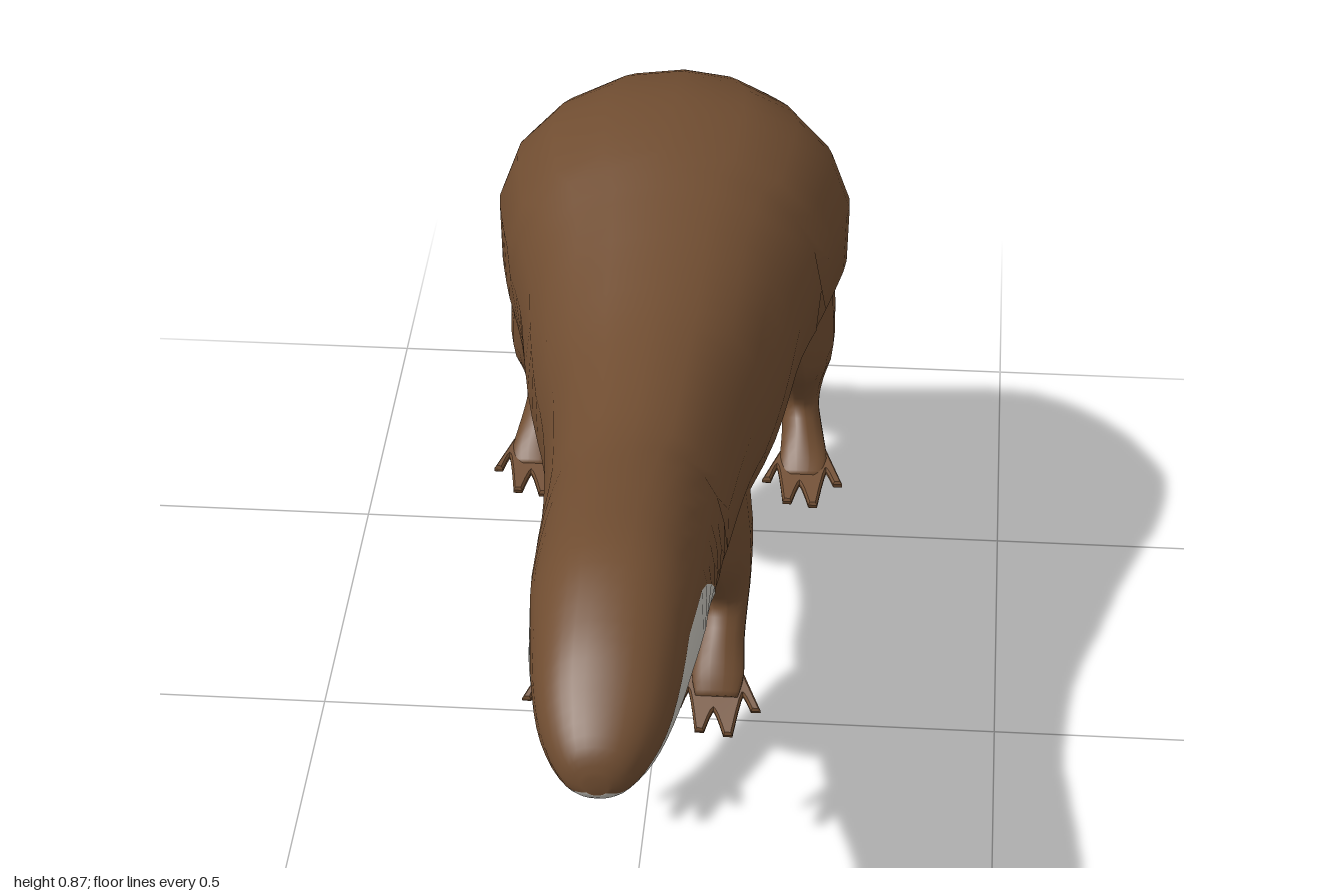
import * as THREE from 'three';

const fur = new THREE.MeshStandardMaterial({ color: 0x704d31 });
fur.name = 'brown fur';
const pale = new THREE.MeshStandardMaterial({ color: 0xc6c3bb });
pale.name = 'pale underside';

const LOWER = 8, UPPER = 16, RING = LOWER + UPPER, MIN_ANGLE = 0.3;

// Catmull-Rom through rows of numbers
function refine(rows, steps) {
  const out = [];
  const at = (i) => rows[Math.max(0, Math.min(rows.length - 1, i))];
  for (let i = 0; i < rows.length - 1; i++) {
    for (let k = 0; k < steps; k++) {
      const t = k / steps;
      out.push(rows[i].map((_, c) => {
        const [a, b, d, e] = [at(i - 1)[c], at(i)[c], at(i + 1)[c], at(i + 2)[c]];
        return b + 0.5 * t * (d - a + t * (2 * a - 5 * b + 4 * d - e + t * (3 * (b - d) + e - a)));
      }));
    }
  }
  out.push(rows[rows.length - 1]);
  return out;
}

// Linear lookup of the pale patch's half angle for a given z
function paleAngle(keys, z) {
  for (let i = 0; i < keys.length - 1; i++) {
    const [z0, a0] = keys[i], [z1, a1] = keys[i + 1];
    if (z <= z0 && z >= z1) return a0 + (a1 - a0) * (z0 - z) / (z0 - z1 || 1);
  }
  return 0;
}

// Skin over oval sections: [x, upper z, upper y, lower z, lower y, half width]
function loft(sections, steps, power, paleKeys = []) {
  const rows = refine(sections, steps);
  const pos = [], brownIdx = [], paleIdx = [];
  const shape = (v) => Math.sign(v) * Math.abs(v) ** power;
  const angles = rows.map(([x, zt, yt, zb, yb, w]) => {
    const cz = (zt + zb) / 2, cy = (yt + yb) / 2;
    const a = Math.max(MIN_ANGLE, paleAngle(paleKeys, cz));
    for (let i = 0; i < RING; i++) {
      const th = i < LOWER ? -a + 2 * a * i / LOWER
        : a + (2 * Math.PI - 2 * a) * (i - LOWER) / UPPER;
      const s = shape(Math.sin(th)), c = -shape(Math.cos(th));
      pos.push(x + w * s, cy + c * (yt - yb) / 2, cz + c * (zt - zb) / 2);
    }
    return a;
  });
  for (let j = 0; j < rows.length - 1; j++) {
    const isPale = Math.max(angles[j], angles[j + 1]) > MIN_ANGLE + 0.01;
    for (let i = 0; i < RING; i++) {
      const n = (i + 1) % RING;
      const a = j * RING + i, b = j * RING + n, d = a + RING, c = b + RING;
      (isPale && i < LOWER ? paleIdx : brownIdx).push(a, d, b, b, d, c);
    }
  }
  // Closed ends
  for (const j of [0, rows.length - 1]) {
    const [x, zt, yt, zb, yb] = rows[j];
    const centre = pos.length / 3;
    pos.push(x, (yt + yb) / 2, (zt + zb) / 2);
    for (let i = 0; i < RING; i++) {
      const a = j * RING + i, b = j * RING + (i + 1) % RING;
      brownIdx.push(...(j === 0 ? [centre, a, b] : [centre, b, a]));
    }
  }
  const g = new THREE.BufferGeometry();
  g.setAttribute('position', new THREE.Float32BufferAttribute(pos, 3));
  g.setIndex([...brownIdx, ...paleIdx]);
  g.addGroup(0, brownIdx.length, 0);
  if (paleIdx.length) g.addGroup(brownIdx.length, paleIdx.length, 1);
  g.computeVertexNormals();
  return g;
}

// Webbed foot with four pointed toes, pointing along +z
function footGeometry(length, width) {
  const s = new THREE.Shape();
  const toes = [[-0.5, 0.74], [-0.19, 0.97], [0.17, 1], [0.5, 0.76]];
  s.moveTo(0.016, 0);
  s.lineTo(-0.016, 0);
  s.lineTo(-0.027, length * 0.35);
  toes.forEach(([u, v], i) => {
    const x = u * width, y = v * length;
    if (i > 0) {
      const [pu, pv] = toes[i - 1];
      s.quadraticCurveTo((pu * 0.6 + u * 0.4) * width, Math.min(pv, v) * length * 0.72,
        (pu + u) / 2 * width, Math.min(pv, v) * length * 0.8);
      s.quadraticCurveTo((pu * 0.4 + u * 0.6) * width, Math.min(pv, v) * length * 0.82, x - 0.004, y);
    } else s.lineTo(x - 0.003, y);
    s.lineTo(x + 0.004, y);
  });
  s.lineTo(0.027, length * 0.35);
  const g = new THREE.ExtrudeGeometry(s, {
    depth: 0.006, bevelEnabled: true, bevelThickness: 0.004, bevelSize: 0.003, bevelSegments: 1, curveSegments: 4,
  });
  return g.rotateX(Math.PI / 2);
}

export function createModel() {
  const model = new THREE.Group();
  model.name = 'otter';
  const add = (name, geometry, material) => {
    const m = new THREE.Mesh(geometry, material);
    m.name = name;
    model.add(m);
    return m;
  };

  // Head, trunk and tail in one skin, nose to tail tip
  const bodySections = [
    [0, 1, 0.655, 1, 0.628, 0.015],
    [0, 0.985, 0.69, 0.985, 0.613, 0.045],
    [0, 0.93, 0.735, 0.94, 0.605, 0.075],
    [0, 0.85, 0.782, 0.85, 0.585, 0.095],
    [0, 0.73, 0.815, 0.73, 0.558, 0.11],
    [0, 0.57, 0.798, 0.57, 0.512, 0.117],
    [0, 0.4, 0.772, 0.37, 0.45, 0.125],
    [0, 0.2, 0.78, 0.2, 0.425, 0.145],
    [0, 0.05, 0.805, 0.05, 0.412, 0.18],
    [0, -0.08, 0.835, -0.08, 0.445, 0.205],
    [0, -0.22, 0.867, -0.22, 0.45, 0.242],
    [0, -0.36, 0.868, -0.36, 0.44, 0.257],
    [0, -0.5, 0.82, -0.46, 0.44, 0.2],
    [0, -0.6, 0.745, -0.54, 0.44, 0.12],
    [0, -0.67, 0.59, -0.605, 0.37, 0.066],
    [0, -0.76, 0.38, -0.7, 0.255, 0.045],
    [0, -0.875, 0.165, -0.83, 0.125, 0.031],
    [0, -0.985, 0.032, -0.968, 0.012, 0.013],
    [0, -1, 0.01, -0.995, 0, 0.005],
  ];
  // Pale throat, belly and rump patches
  const patches = [
    [1, 0.8], [0.95, 1.35], [0.8, 1.87], [0.68, 1.85], [0.57, 1.5], [0.41, 0.8], [0.37, 0],
    [0.13, 0], [0.08, 0.5], [-0.05, 0.78], [-0.15, 0.7], [-0.2, 0],
    [-0.43, 0], [-0.47, 0.6], [-0.56, 0.72], [-0.64, 0.5], [-0.69, 0],
  ];
  add('body', loft(bodySections, 4, 0.9, patches), [fur, pale]);

  for (const [side, s] of [['left', 1], ['right', -1]]) {
    // Legs: rear outline first, then front outline
    const front = [
      [s * 0.08, 0.0, 0.6, 0.32, 0.6, 0.05],
      [s * 0.092, 0.04, 0.46, 0.3, 0.48, 0.053],
      [s * 0.1, 0.115, 0.38, 0.25, 0.405, 0.045],
      [s * 0.105, 0.165, 0.338, 0.237, 0.37, 0.037],
      [s * 0.105, 0.215, 0.308, 0.265, 0.338, 0.035],
      [s * 0.105, 0.265, 0.28, 0.295, 0.3, 0.037],
      [s * 0.105, 0.3, 0.262, 0.31, 0.274, 0.03],
    ];
    add(side + 'FrontLeg', loft(front, 3, 1), [fur, pale]);
    const hind = [
      [s * 0.155, -0.5, 0.62, -0.14, 0.62, 0.08],
      [s * 0.185, -0.44, 0.465, -0.18, 0.5, 0.055],
      [s * 0.19, -0.385, 0.4, -0.245, 0.43, 0.036],
      [s * 0.19, -0.345, 0.355, -0.275, 0.385, 0.029],
      [s * 0.195, -0.315, 0.325, -0.255, 0.358, 0.03],
      [s * 0.2, -0.25, 0.308, -0.22, 0.326, 0.035],
      [s * 0.2, -0.21, 0.298, -0.2, 0.31, 0.03],
    ];
    add(side + 'HindLeg', loft(hind, 3, 1), [fur, pale]);

    // Feet
    const frontFoot = add(side + 'FrontFoot', footGeometry(0.16, 0.11), fur);
    frontFoot.position.set(s * 0.105, 0.315, 0.21);
    frontFoot.rotation.x = 0.49;
    const hindFoot = add(side + 'HindFoot', footGeometry(0.17, 0.105), fur);
    hindFoot.position.set(s * 0.2, 0.34, -0.315);
    hindFoot.rotation.x = 0.3;
  }
  return model;
}
